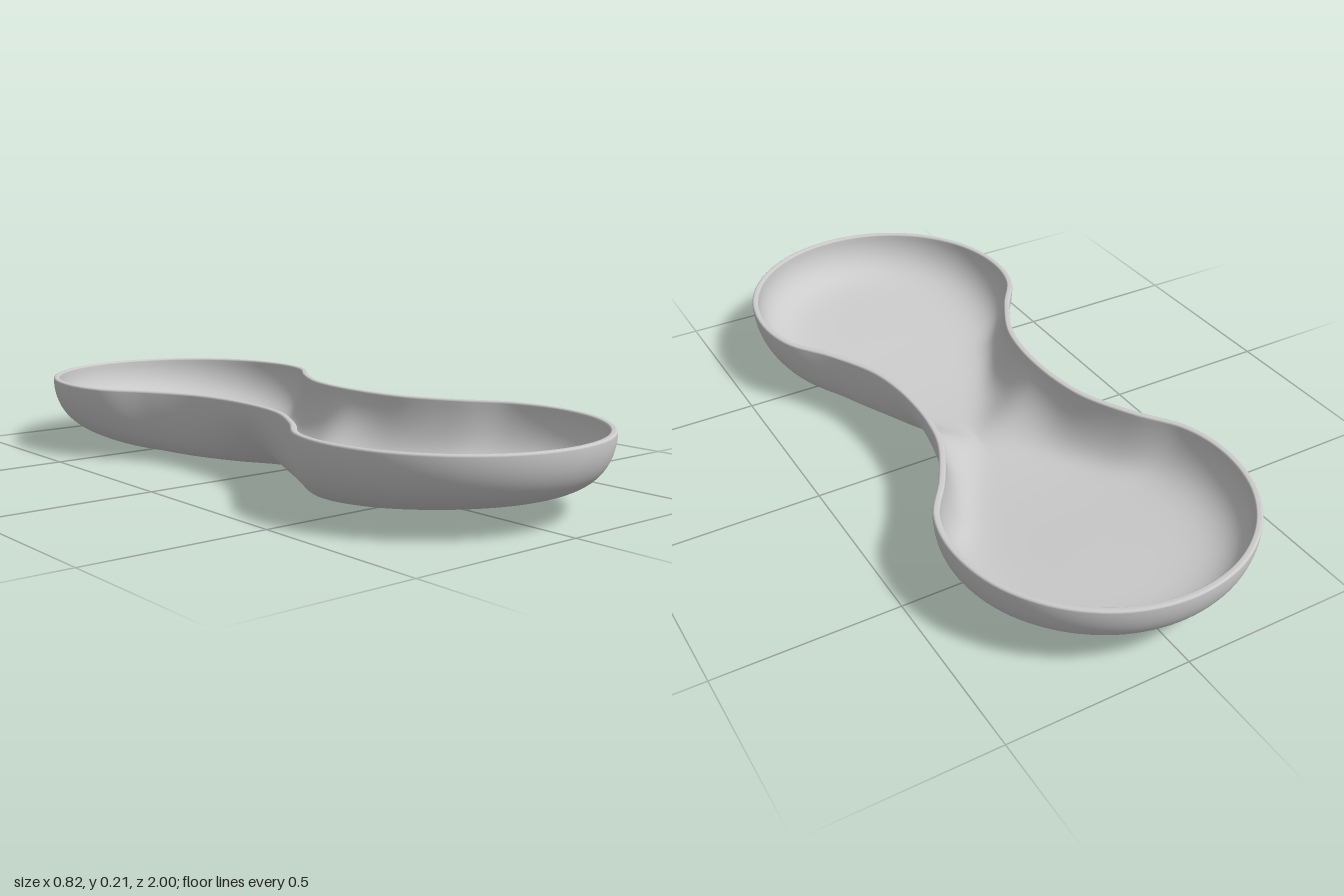
import * as THREE from 'three';
import { mergeVertices } from 'three/addons/utils/BufferGeometryUtils.js';

const RIM = 0.21, WALL = 0.018, ROUND = 0.006, COLS = 220, STEPS = 24;
const LOBE = 0.59; // distance of each lobe's middle from the waist

// One quarter of the plan outline [x, z], from the front tip to the waist
const quarter = [[0, 1], [0.157, 0.969], [0.29, 0.88], [0.379, 0.747], [0.41, 0.59],
  [0.385, 0.455], [0.305, 0.335], [0.236, 0.2], [0.214, 0.1], [0.208, 0]];

// Mirror the quarter into a closed, evenly spaced outline
function planOutline() {
  const right = [...quarter, ...quarter.slice(0, -1).reverse().map(([x, z]) => [x, -z])];
  const left = right.slice(1, -1).reverse().map(([x, z]) => [-x, z]);
  const pts = [...right, ...left].map(([x, z]) => new THREE.Vector3(x, 0, z));
  return new THREE.CatmullRomCurve3(pts, true, 'centripetal').getSpacedPoints(COLS).slice(0, COLS);
}

// The floor is lowest at the waist and rises gently to both tips
const floorY = z => 0.055 * THREE.MathUtils.smoothstep(Math.abs(z), 0.12, 0.95);

// Walls are a soft V at the waist and flat-floored with a tight curve in the lobes
const bowlPower = z => THREE.MathUtils.lerp(1.4, 6.5, THREE.MathUtils.smoothstep(Math.abs(z), 0, 0.34));

// Section from the spine (first) to the edge (last)
function bowlSection(edge, spineZ, lift, topY) {
  const pts = [], a = bowlPower(edge.z);
  for (let s = 0; s <= STEPS; s++) {
    const phi = Math.PI / 2 * Math.pow(s / STEPS, 1.4);
    const u = Math.pow(Math.sin(phi), 2 / a);
    const z = THREE.MathUtils.lerp(spineZ, edge.z, u);
    const base = floorY(z) + lift;
    pts.push([edge.x * u, base + (topY - base) * (1 - Math.cos(phi)), z]);
  }
  return pts;
}

function trayGeometry() {
  const outline = planOutline(), pos = [], index = [];
  let rows = 0;
  outline.forEach((p, i) => {
    const prev = outline[(i + COLS - 1) % COLS], next = outline[(i + 1) % COLS];
    const t = next.clone().sub(prev).normalize();
    const inward = new THREE.Vector3(t.z, 0, -t.x);
    const spineZ = THREE.MathUtils.clamp(p.z, -LOBE, LOBE);
    const outer = bowlSection(p, spineZ, 0, RIM - ROUND);
    const inner = bowlSection(p.clone().addScaledVector(inward, WALL), spineZ, WALL, RIM - ROUND);
    // Rounded lip between the outer and inner skins
    const lip = [];
    for (const [from, side] of [[0, 1], [WALL, -1]]) {
      for (let k = 1; k <= 4; k++) {
        const ang = (side > 0 ? k : 5 - k) / (side > 0 ? 4 : 5) * Math.PI / 2;
        const q = p.clone().addScaledVector(inward, from + side * ROUND * (1 - Math.cos(ang)));
        lip.push([q.x, RIM - ROUND + ROUND * Math.sin(ang), q.z]);
      }
    }
    const loop = [...outer, ...lip, ...inner.reverse()];
    rows = loop.length;
    pos.push(...loop.flat());
  });
  for (let i = 0; i < COLS; i++) {
    for (let j = 0; j < rows - 1; j++) {
      const a = i * rows + j, b = ((i + 1) % COLS) * rows + j;
      index.push(a, b, a + 1, b, b + 1, a + 1);
    }
  }
  const geo = new THREE.BufferGeometry();
  geo.setAttribute('position', new THREE.Float32BufferAttribute(pos, 3));
  geo.setIndex(index);
  const welded = mergeVertices(geo, 1e-5);
  welded.computeVertexNormals();
  return welded;
}

export function createModel() {
  const group = new THREE.Group();
  group.name = 'doubleLobedTray';
  const tray = new THREE.Mesh(trayGeometry(),
    new THREE.MeshStandardMaterial({ color: 0xcccccc, side: THREE.DoubleSide }));
  tray.name = 'trayShell';
  group.add(tray);
  return group;
}
